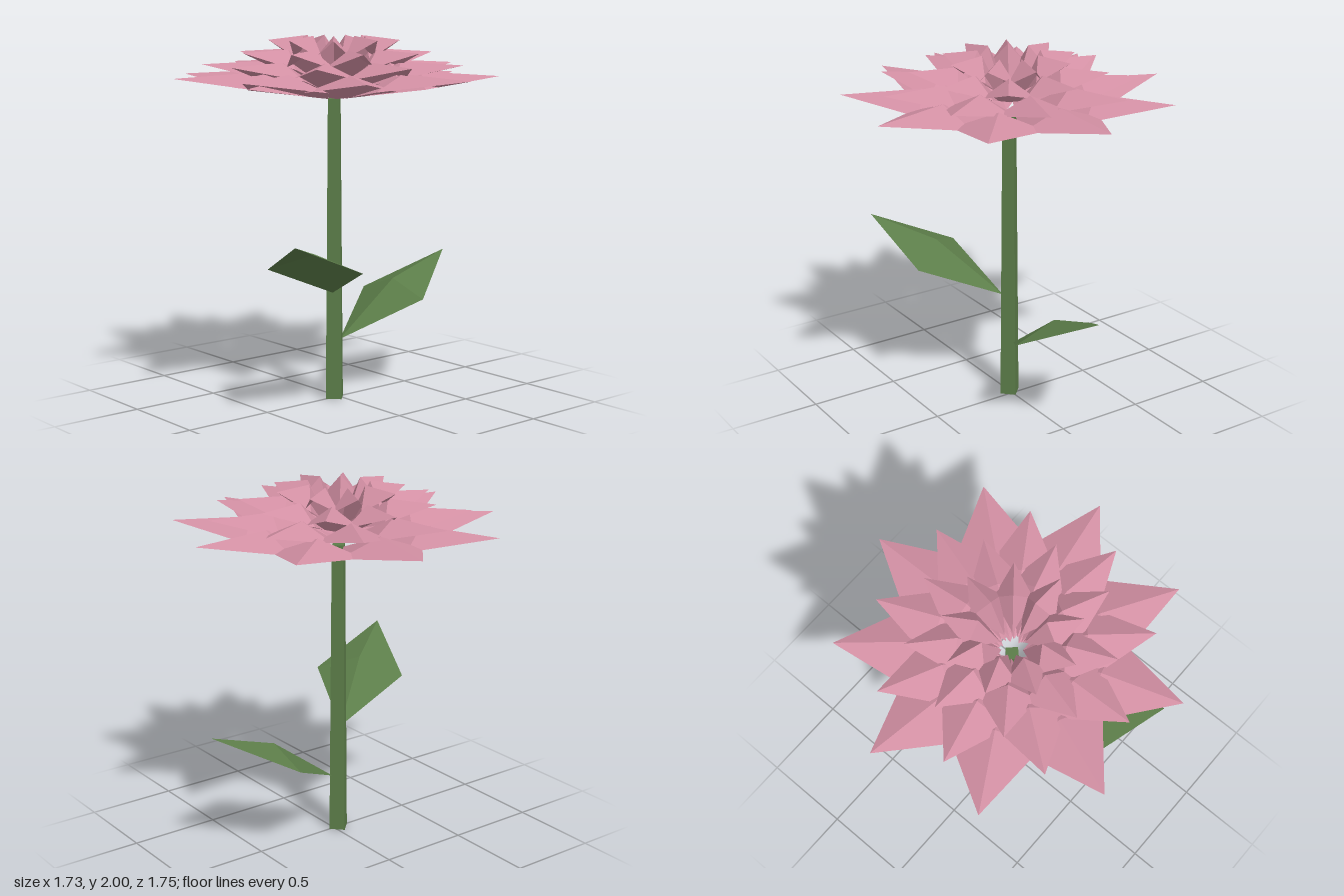
import * as THREE from 'three';

const STEM_X = -0.03;

// Folded diamond blade: base, two side corners, raised ridge point and tip.
// Radii are measured outward from the stem axis, heights from the ground.
function bladeGeometry({ r0, y0, r1, y1, width, lift, pull = 0 }) {
  const rm = (r0 + r1) / 2, ym = (y0 + y1) / 2;
  const base = [r0, y0, 0], tip = [r1, y1, 0];
  const right = [rm, ym, width], left = [rm, ym, -width];
  const ridge = [rm - pull, ym + lift, 0];
  const faces = [base, right, ridge, right, tip, ridge, tip, left, ridge, left, base, ridge];
  const geometry = new THREE.BufferGeometry();
  geometry.setAttribute('position', new THREE.Float32BufferAttribute(faces.flat(), 3));
  geometry.computeVertexNormals();
  return geometry;
}

export function createModel() {
  const green = new THREE.MeshStandardMaterial({ color: 0x5c7d49, flatShading: true, side: THREE.DoubleSide });
  green.name = 'leafGreen';
  const pink = new THREE.MeshStandardMaterial({ color: 0xd28fa3, flatShading: true, side: THREE.DoubleSide });
  pink.name = 'petalPink';

  const model = new THREE.Group();
  model.name = 'flower';

  const add = (parent, name, geometry, material, degrees = 0) => {
    const mesh = new THREE.Mesh(geometry, material);
    mesh.name = name;
    mesh.rotation.y = -THREE.MathUtils.degToRad(degrees);
    parent.add(mesh);
    return mesh;
  };

  // Everything grows around the stem axis
  const plant = new THREE.Group();
  plant.name = 'plant';
  plant.position.x = STEM_X;
  model.add(plant);

  // Four-sided tapering stem
  add(plant, 'stem', new THREE.CylinderGeometry(0.045, 0.062, 1.66, 4), green).position.y = 0.83;

  // Two leaves
  add(plant, 'leftLeaf', bladeGeometry({ r0: 0.04, y0: 0.325, r1: 0.83, y1: 0.745, width: 0.25, lift: 0.085 }), green, 0);
  add(plant, 'rightLeaf', bladeGeometry({ r0: 0.04, y0: 0.6, r1: 0.836, y1: 0.98, width: 0.255, lift: 0.09 }), green, 143.3);

  // Bloom: four rings of nine petals, each ring turned, smaller and steeper
  const rings = [
    { r0: 0.06, y0: 1.66, r1: 0.89, y1: 1.78, width: 0.24, lift: 0.085, pull: 0.01 },
    { r0: 0.06, y0: 1.70, r1: 0.71, y1: 1.845, width: 0.19, lift: 0.09, pull: 0.015 },
    { r0: 0.06, y0: 1.74, r1: 0.53, y1: 1.91, width: 0.145, lift: 0.1, pull: 0.025 },
    { r0: 0.06, y0: 1.78, r1: 0.355, y1: 1.975, width: 0.1, lift: 0.12, pull: 0.04 },
  ];
  rings.forEach((ring, i) => {
    const group = new THREE.Group();
    group.name = `petalRing${i + 1}`;
    const geometry = bladeGeometry(ring);
    for (let k = 0; k < 9; k++) add(group, 'petal', geometry, pink, k * 40 + i * 17);
    plant.add(group);
  });

  return model;
}
